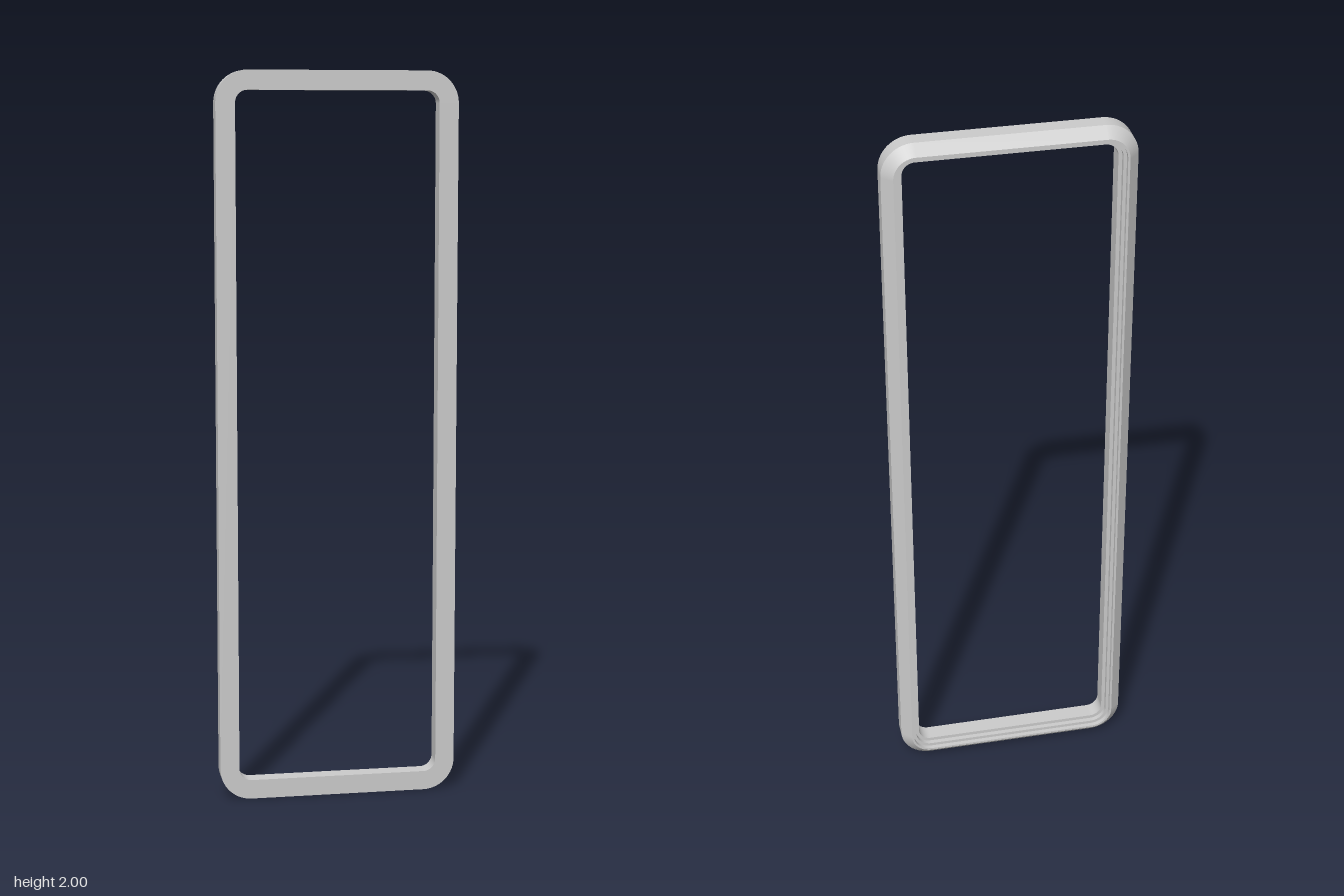
import * as THREE from 'three';

const HALF_W = 0.331, HEIGHT = 2, RADIUS = 0.087, CORNER_STEPS = 14;

// Cross-section as [inset from the outer edge, z]: outer wall, rear chamfer,
// rear lip, stepped rebate, inner wall, front face
const PROFILE = [
  [0, 0.036], [0, -0.01], [0.028, -0.037], [0.034, -0.037], [0.034, -0.025],
  [0.043, -0.025], [0.043, -0.012], [0.053, -0.012], [0.053, 0.036],
];

// Stations around the rounded rectangle: corner centre and outward direction
function outline() {
  const stations = [];
  const cx = HALF_W - RADIUS, cy = HEIGHT / 2 - RADIUS;
  [[1, 1], [-1, 1], [-1, -1], [1, -1]].forEach(([sx, sy], corner) => {
    for (let i = 0; i <= CORNER_STEPS; i++) {
      const a = (corner + i / CORNER_STEPS) * Math.PI / 2;
      stations.push({ x: sx * cx, y: HEIGHT / 2 + sy * cy, c: Math.cos(a), s: Math.sin(a) });
    }
  });
  return stations;
}

// Sweep each side of the profile as its own strip, smooth along the path and
// sharp between strips
function sweepFrame() {
  const stations = outline(), n = stations.length;
  const position = [], normal = [], index = [];
  PROFILE.forEach((start, k) => {
    const end = PROFILE[(k + 1) % PROFILE.length];
    const dr = start[0] - end[0], dz = end[1] - start[1];
    const len = Math.hypot(dr, dz);
    const base = position.length / 3;
    stations.forEach(({ x, y, c, s }, i) => {
      for (const [inset, z] of [start, end]) {
        const r = RADIUS - inset;
        position.push(x + r * c, y + r * s, z);
        normal.push(-dz / len * c, -dz / len * s, dr / len);
      }
      const a = base + 2 * i, next = base + 2 * ((i + 1) % n);
      index.push(a, a + 1, next + 1, a, next + 1, next);
    });
  });
  const geometry = new THREE.BufferGeometry();
  geometry.setAttribute('position', new THREE.Float32BufferAttribute(position, 3));
  geometry.setAttribute('normal', new THREE.Float32BufferAttribute(normal, 3));
  geometry.setIndex(index);
  return geometry;
}

export function createModel() {
  const group = new THREE.Group();
  group.name = 'roundedFrame';
  const frame = new THREE.Mesh(sweepFrame(), new THREE.MeshStandardMaterial({ color: 0xcccccc }));
  frame.name = 'frame';
  group.add(frame);
  return group;
}
